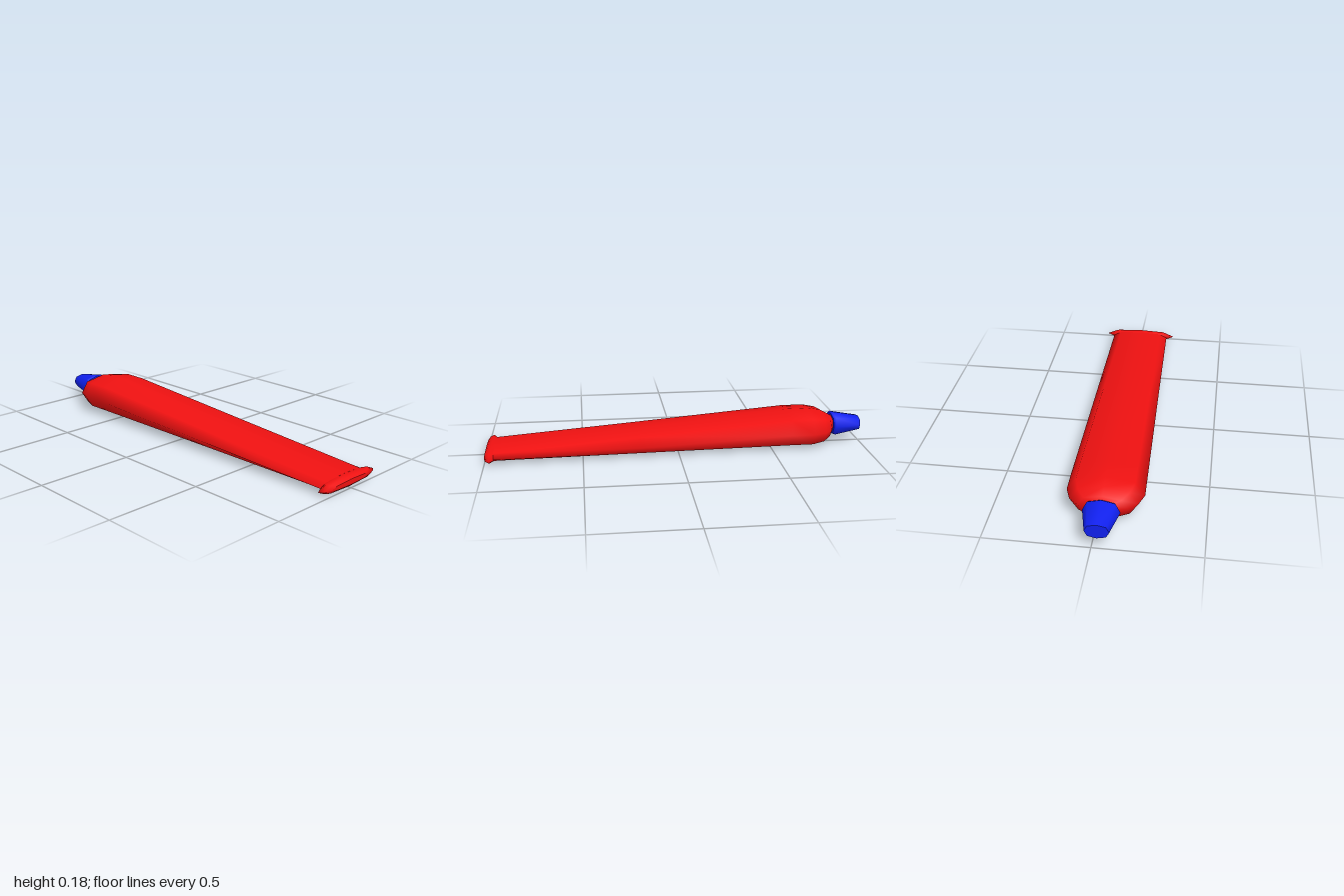
import * as THREE from 'three';

const SIDES = 8;

// Skin over octagonal sections [z, centreX, centreY, halfWidth, halfHeight], ordered back to front
function loft(sections) {
  const pos = [], index = [];
  const addRing = ([z, cx, cy, hw, hh]) => {
    const start = pos.length / 3;
    for (let j = 0; j < SIDES; j++) {
      const a = (j / SIDES) * Math.PI * 2;
      const k = j % 2 ? 0.75 / Math.SQRT1_2 : 1; // slightly squared-off corners
      pos.push(cx + Math.cos(a) * hw * k, cy + Math.sin(a) * hh * k, z);
    }
    return start;
  };
  const rings = sections.map(addRing);
  for (let i = 0; i < rings.length - 1; i++) {
    for (let j = 0; j < SIDES; j++) {
      const n = (j + 1) % SIDES;
      const a = rings[i] + j, b = rings[i] + n, c = rings[i + 1] + n, d = rings[i + 1] + j;
      index.push(a, b, c, a, c, d);
    }
  }
  // Flat ends with their own vertices, so their rims stay sharp
  [sections[0], sections[sections.length - 1]].forEach((s, end) => {
    const start = addRing(s);
    for (let j = 1; j < SIDES - 1; j++) {
      if (end) index.push(start, start + j, start + j + 1);
      else index.push(start, start + j + 1, start + j);
    }
  });
  const geometry = new THREE.BufferGeometry();
  geometry.setAttribute('position', new THREE.Float32BufferAttribute(pos, 3));
  geometry.setIndex(index);
  geometry.computeVertexNormals();
  return geometry;
}

export function createModel() {
  const group = new THREE.Group();
  const add = (name, color, sections) => {
    const mesh = new THREE.Mesh(loft(sections), new THREE.MeshStandardMaterial({ color }));
    mesh.name = name;
    group.add(mesh);
  };
  const red = 0xee1111, blue = 0x1020ee;
  const cx = -0.026; // shoulder, neck and cap sit slightly off centre

  // Squeezable body: neck, rounded shoulder, then a long taper to the flat end
  add('tubeBody', red, [
    [-0.87, cx, 0.093, 0.06, 0.045],
    [-0.845, cx, 0.093, 0.06, 0.045],
    [-0.825, cx, 0.092, 0.115, 0.058],
    [-0.785, cx, 0.092, 0.16, 0.08],
    [-0.72, cx, 0.092, 0.183, 0.091],
    [-0.6, -0.024, 0.092, 0.182, 0.091],
    [0.2, -0.011, 0.06, 0.173, 0.057],
    [0.955, 0, 0.03, 0.165, 0.027],
  ]);

  // Crimped seal across the flat end
  add('crimpedEnd', red, [
    [0.952, 0, 0.03, 0.165, 0.026],
    [0.972, 0, 0.03, 0.207, 0.03],
    [0.99, 0, 0.03, 0.185, 0.025],
    [1, 0, 0.03, 0.14, 0.014],
  ]);

  // Tapered screw cap
  add('cap', blue, [
    [-1, cx, 0.094, 0.056, 0.037],
    [-0.86, cx, 0.094, 0.087, 0.062],
    [-0.848, cx, 0.094, 0.078, 0.055],
  ]);

  return group;
}
